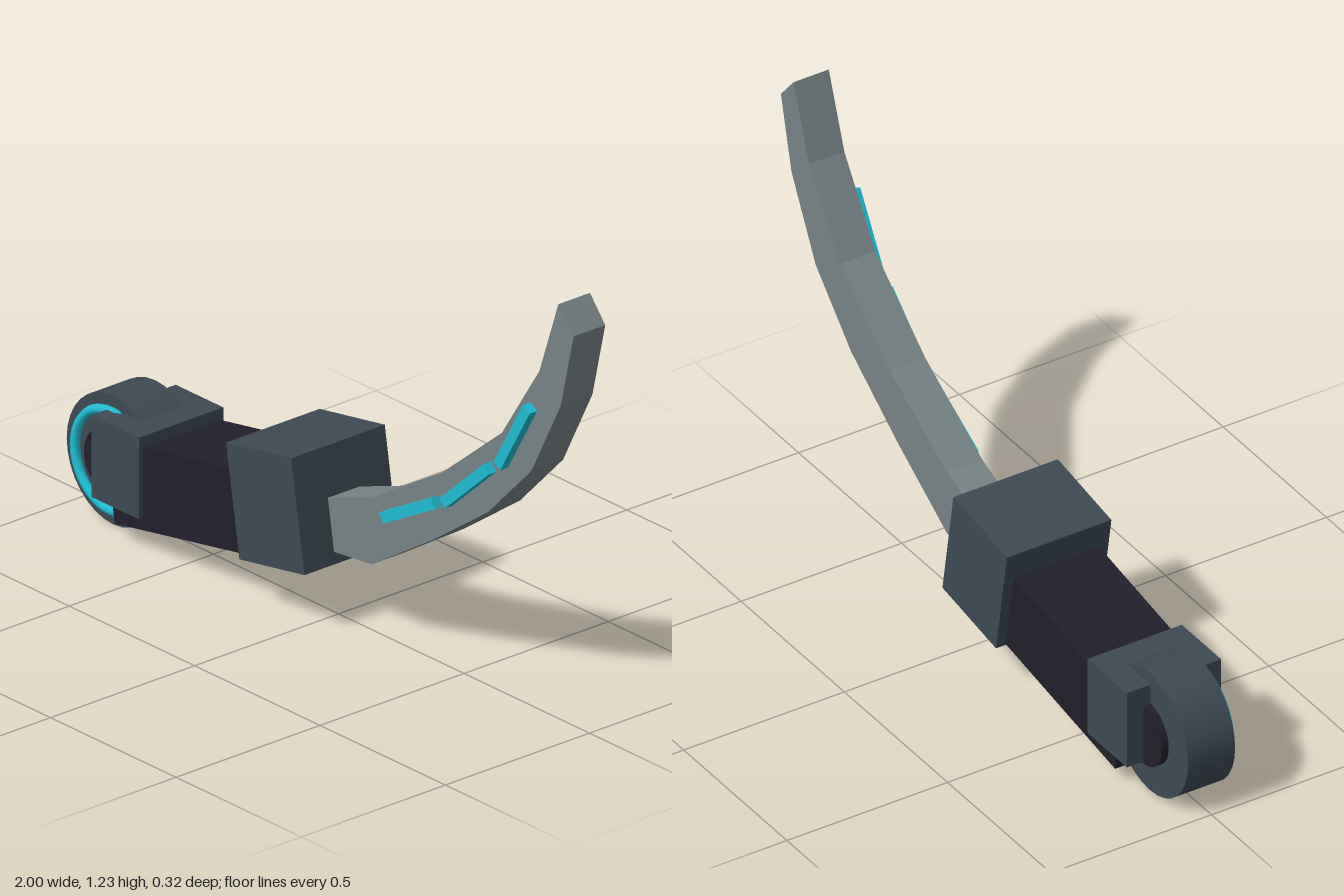
import * as THREE from 'three';

const mat = (name, color) => {
  const m = new THREE.MeshStandardMaterial({ color });
  m.name = name;
  return m;
};

export function createModel() {
  const group = new THREE.Group();
  const steel = mat('blue grey steel', 0x3d4952);
  const grip = mat('dark grip', 0x21202b);
  const bladeGrey = mat('blade grey', 0x778386);
  const glow = mat('cyan glow', 0x1fbcd2);

  const add = (name, geometry, material, x, y, z, tilt = 0) => {
    const mesh = new THREE.Mesh(geometry, material);
    mesh.name = name;
    mesh.position.set(x, y, z);
    mesh.rotation.z = THREE.MathUtils.degToRad(tilt);
    group.add(mesh);
    return mesh;
  };
  const box = (w, h, d) => new THREE.BoxGeometry(w, h, d);
  const disc = (r, d) => new THREE.CylinderGeometry(r, r, d, 32).rotateX(Math.PI / 2);

  // Pommel: wheel, hub and a glowing ring on the front
  const px = -0.815, py = 0.186;
  add('pommelWheel', disc(0.185, 0.147), steel, px, py, 0);
  add('pommelHub', disc(0.092, 0.19), grip, px, py, 0);
  add('pommelRing', new THREE.TorusGeometry(0.142, 0.014, 8, 40), glow, px, py, 0.082);
  add('pommelClamp', box(0.19, 0.235, 0.293), steel, -0.723, 0.218, 0);

  // Tilted handle and guard
  add('handle', box(0.68, 0.235, 0.266), grip, -0.425, 0.22, 0, 9.8);
  add('guard', box(0.263, 0.322, 0.325), steel, -0.106, 0.315, 0, 9.5);

  // Faceted curved blade: upper edge out to the tip, lower edge back
  const outline = [
    [-0.03, 0.34], [0.195, 0.42], [0.473, 0.585], [0.714, 0.783], [0.864, 1.013], [0.939, 1.23],
    [1.0, 1.158], [0.949, 0.942], [0.832, 0.714], [0.66, 0.537], [0.441, 0.382], [0.195, 0.227], [-0.03, 0.203],
  ].map(([x, y]) => new THREE.Vector2(x, y));
  const bladeGeometry = new THREE.ExtrudeGeometry(new THREE.Shape(outline), { depth: 0.11, bevelEnabled: false });
  add('blade', bladeGeometry, bladeGrey, 0, 0, -0.055);

  // Glowing strips on the front of the blade
  [[0.366, 0.447, 28.5], [0.594, 0.596, 42], [0.783, 0.8, 60]].forEach(([x, y, tilt], i) => {
    add(`bladeStrip${i + 1}`, box(0.235, 0.031, 0.032), glow, x, y, 0.066, tilt);
  });

  return group;
}
